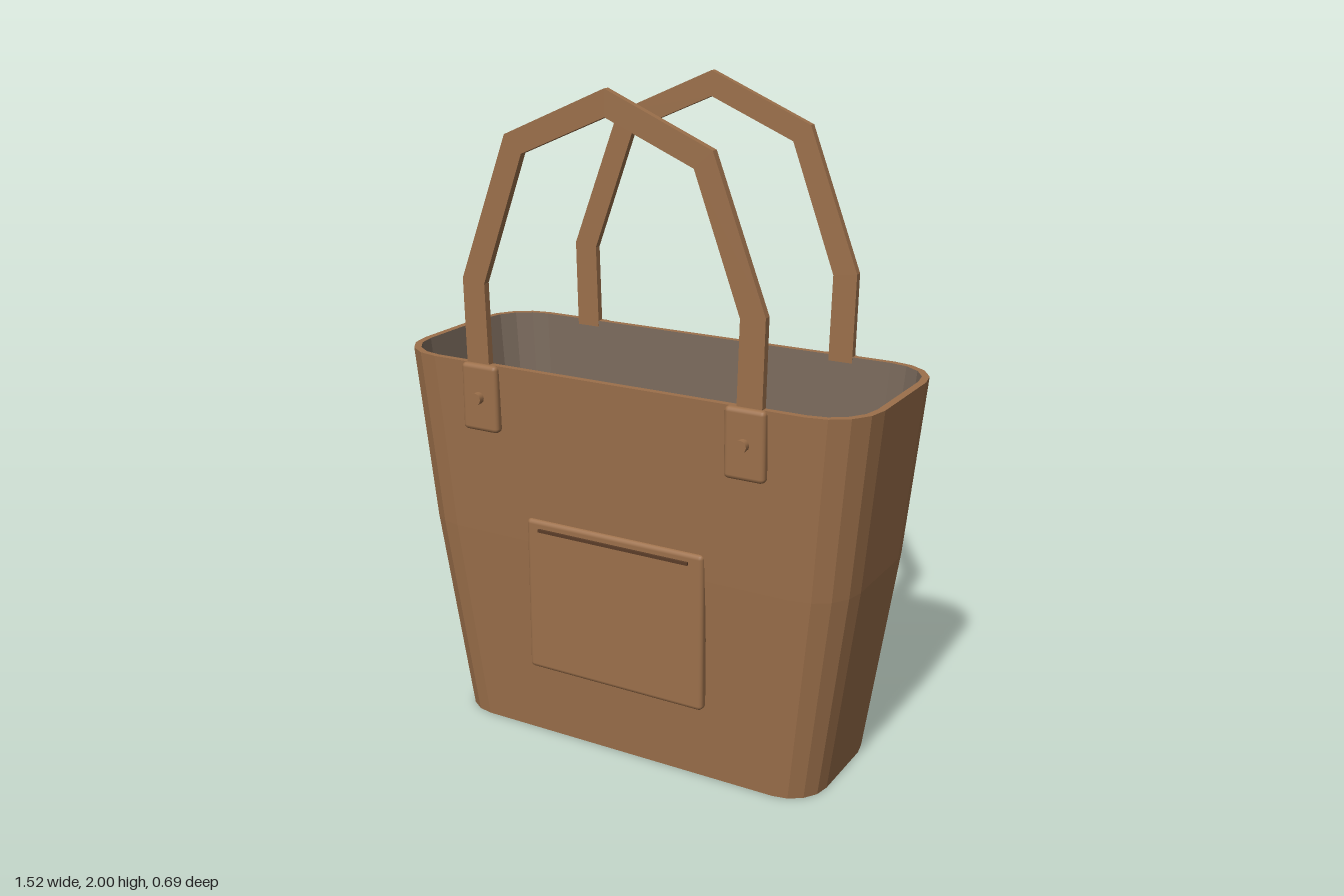
import * as THREE from 'three';
import { RoundedBoxGeometry } from 'three/addons/geometries/RoundedBoxGeometry.js';

const SEGS = 4; // facets per rounded corner

// Rounded-rectangle outline at height y, ordered from +x towards +z
function ring(y, hx, hz, r) {
  const pts = [];
  const corners = [[1, 1], [-1, 1], [-1, -1], [1, -1]];
  corners.forEach(([sx, sz], c) => {
    for (let i = 0; i <= SEGS; i++) {
      const a = (c + i / SEGS) * Math.PI / 2;
      pts.push([sx * (hx - r) + r * Math.cos(a), y, sz * (hz - r) + r * Math.sin(a)]);
    }
  });
  return pts;
}

// Skin over consecutive rings; optionally capped at the first or last ring
function loft(rings, { capStart = false, capEnd = false } = {}) {
  const pos = [];
  const tri = (a, b, c) => pos.push(...a, ...b, ...c);
  const n = rings[0].length;
  for (let k = 0; k < rings.length - 1; k++) {
    for (let i = 0; i < n; i++) {
      const j = (i + 1) % n;
      const [a, b, c, d] = [rings[k][i], rings[k][j], rings[k + 1][j], rings[k + 1][i]];
      tri(a, d, c);
      tri(a, c, b);
    }
  }
  for (let i = 1; i < n - 1; i++) {
    const s = rings[0], e = rings[rings.length - 1];
    if (capStart) tri(s[0], s[i], s[i + 1]);
    if (capEnd) tri(e[0], e[i + 1], e[i]);
  }
  const g = new THREE.BufferGeometry();
  g.setAttribute('position', new THREE.Float32BufferAttribute(pos, 3));
  g.computeVertexNormals();
  return g;
}

export function createModel() {
  const model = new THREE.Group();
  model.name = 'toteBag';
  const leather = new THREE.MeshStandardMaterial({ color: 0x9c704b });
  const lining = new THREE.MeshStandardMaterial({ color: 0x7a6a5c });
  const seam = new THREE.MeshStandardMaterial({ color: 0x5a3d28 });

  const add = (parent, name, geometry, material, x = 0, y = 0, z = 0) => {
    const mesh = new THREE.Mesh(geometry, material);
    mesh.name = name;
    mesh.position.set(x, y, z);
    parent.add(mesh);
    return mesh;
  };

  // Tapered shell with a flat rim
  const rimInner = ring(1.19, 0.74, 0.29, 0.14);
  add(model, 'body', loft([
    ring(0, 0.62, 0.237, 0.12),
    ring(0.65, 0.71, 0.283, 0.145),
    ring(1.19, 0.762, 0.31, 0.16),
    rimInner,
  ], { capStart: true }), leather);

  // Inner walls and floor
  add(model, 'lining', loft([
    rimInner,
    ring(0.65, 0.688, 0.262, 0.125),
    ring(0.02, 0.597, 0.215, 0.1),
  ], { capEnd: true }), lining);

  // Front pocket with its opening seam
  add(model, 'pocket', new RoundedBoxGeometry(0.595, 0.485, 0.036, 2, 0.014), leather, 0, 0.487, 0.28);
  add(model, 'pocketSeam', new THREE.BoxGeometry(0.505, 0.009, 0.009), seam, 0, 0.7, 0.301);

  // Faceted strap outline: outer edge up and over, inner edge back
  const outer = [[0.477, 1.05], [0.485, 1.44], [0.325, 1.86]];
  const inner = [[0.4, 1.05], [0.41, 1.43], [0.27, 1.81]];
  const mirror = (p) => [-p[0], p[1]];
  const outline = [
    ...outer, [0, 2], ...outer.map(mirror).reverse(),
    ...inner.map(mirror), [0, 1.925], ...[...inner].reverse(),
  ];
  const strapGeo = new THREE.ExtrudeGeometry(
    new THREE.Shape(outline.map(([x, y]) => new THREE.Vector2(x, y))),
    { depth: 0.022, bevelEnabled: false });
  strapGeo.translate(0, 0, 0.289);
  const tabGeo = new RoundedBoxGeometry(0.124, 0.205, 0.034, 2, 0.014);
  const rivetGeo = new THREE.CylinderGeometry(0.018, 0.018, 0.04, 12).rotateX(Math.PI / 2);

  // Handle, tabs and rivets, front and back
  for (const [name, turn] of [['frontHandle', 0], ['backHandle', Math.PI]]) {
    const handle = new THREE.Group();
    handle.name = name;
    handle.rotation.y = turn;
    add(handle, 'strap', strapGeo, leather);
    for (const [side, s] of [['left', 1], ['right', -1]]) {
      add(handle, side + 'Tab', tabGeo, leather, s * 0.433, 1.088, 0.309);
      add(handle, side + 'Rivet', rivetGeo, leather, s * 0.433, 1.09, 0.325);
    }
    model.add(handle);
  }
  return model;
}
